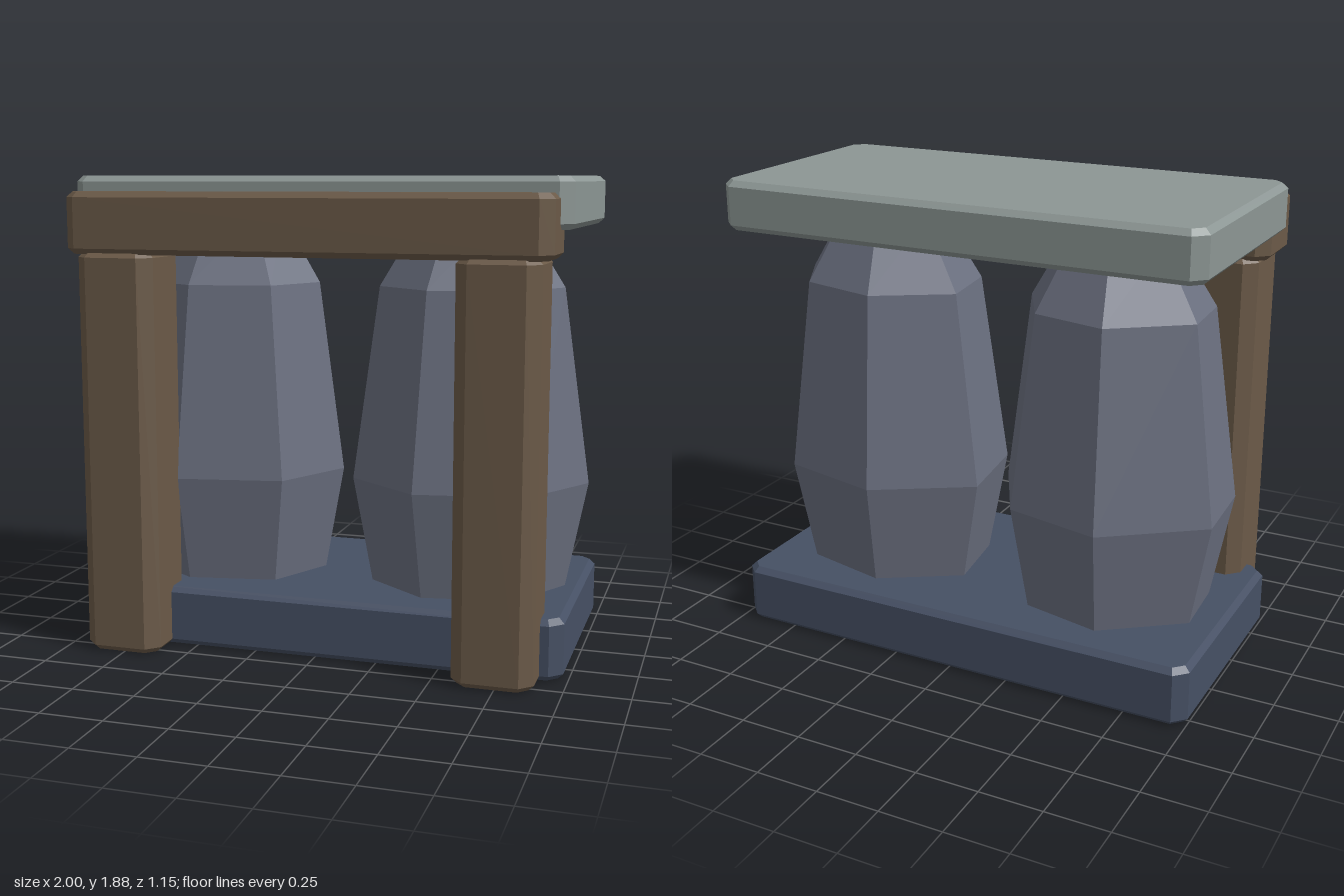
import * as THREE from 'three';

const mat = (color) => new THREE.MeshStandardMaterial({ color, flatShading: true });

// Block with chamfered vertical corners and bevelled top and bottom edges
function block(name, [x0, x1], [y0, y1], [z0, z1], material, chamfer = 0.05, bevel = 0.022) {
  const w = (x1 - x0) / 2, d = (z1 - z0) / 2, c = chamfer;
  const shape = new THREE.Shape([
    [w, -d + c], [w, d - c], [w - c, d], [-w + c, d],
    [-w, d - c], [-w, -d + c], [-w + c, -d], [w - c, -d],
  ].map(([x, y]) => new THREE.Vector2(x, y)));
  const geo = new THREE.ExtrudeGeometry(shape, {
    depth: y1 - y0 - 2 * bevel, bevelThickness: bevel, bevelSize: bevel,
    bevelOffset: -bevel, bevelSegments: 1,
  });
  geo.rotateX(-Math.PI / 2);
  const mesh = new THREE.Mesh(geo, material);
  mesh.name = name;
  mesh.position.set((x0 + x1) / 2, y0 + bevel, (z0 + z1) / 2);
  return mesh;
}

// Faceted boulder: one irregular outline, scaled about its centre at each level
function boulder(name, cx, cz, outline, material) {
  const levels = [[0.18, 0.805], [0.67, 1], [1.45, 0.775], [1.72, 0.43]];
  const n = outline.length, pos = [], index = [];
  for (const [y, s] of levels)
    for (const [x, z] of outline) pos.push(cx + (x - cx) * s, y, cz + (z - cz) * s);
  for (let i = 0; i < levels.length - 1; i++)
    for (let k = 0; k < n; k++) {
      const a = i * n + k, b = i * n + (k + 1) % n;
      index.push(a, a + n, b, b, a + n, b + n);
    }
  const top = (levels.length - 1) * n;
  for (let k = 1; k < n - 1; k++) {
    index.push(0, k, k + 1);
    index.push(top, top + k + 1, top + k);
  }
  const geo = new THREE.BufferGeometry();
  geo.setAttribute('position', new THREE.Float32BufferAttribute(pos, 3));
  geo.setIndex(index);
  geo.computeVertexNormals();
  const mesh = new THREE.Mesh(geo, material);
  mesh.name = name;
  return mesh;
}

export function createModel() {
  const model = new THREE.Group();
  model.name = 'stoneShelter';
  const wood = mat(0x6b5a48), rock = mat(0x6b7080);

  // Floor and roof slabs
  const slabX = [-1, 0.98], slabZ = [-0.575, 0.415];
  model.add(block('baseSlab', slabX, [0, 0.24], slabZ, mat(0x465064)));
  model.add(block('roofSlab', slabX, [1.69, 1.885], slabZ, mat(0x8c9694)));

  // Timber frame at the front
  const frameZ = [0.26, 0.575];
  model.add(block('rightPost', [-0.92, -0.605], [0, 1.595], frameZ, wood));
  model.add(block('leftPost', [0.58, 0.895], [0, 1.595], frameZ, wood));
  model.add(block('lintel', [-0.965, 0.935], [1.585, 1.825], frameZ, wood));

  // Two supporting boulders
  model.add(boulder('leftBoulder', 0.505, -0.08, [
    [1.0, -0.08], [0.81, 0.26], [0.375, 0.335], [0.07, 0.1],
    [0.02, -0.27], [0.4, -0.5], [0.82, -0.4],
  ], rock));
  model.add(boulder('rightBoulder', -0.49, -0.08, [
    [-0.025, -0.08], [-0.185, 0.25], [-0.61, 0.33], [-0.94, 0.11],
    [-0.96, -0.23], [-0.59, -0.5], [-0.2, -0.41],
  ], rock));

  return model;
}
